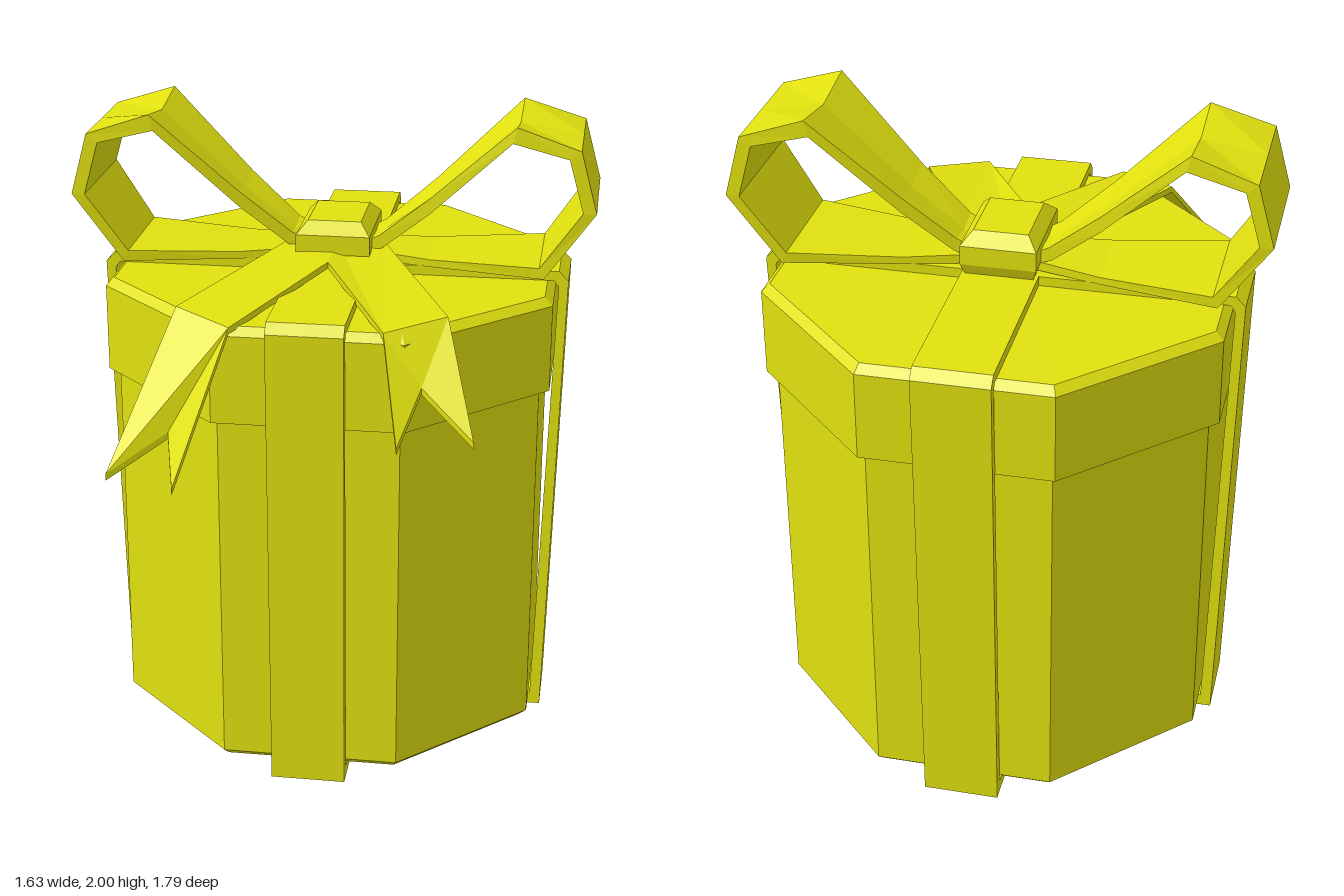
import * as THREE from 'three';

const ZC = -0.163; // centre line of the box
const yellow = new THREE.MeshStandardMaterial({ color: 0xe0e00f, flatShading: true });
yellow.name = 'yellow';

function part(name, geometry, parent) {
  const mesh = new THREE.Mesh(geometry, yellow);
  mesh.name = name;
  parent.add(mesh);
  return mesh;
}

// Octagonal solid from a profile of [apothem, y], flat sides facing the axes
function octagon(profile) {
  const k = 1 / Math.cos(Math.PI / 8);
  const pts = profile.map(([r, y]) => new THREE.Vector2(r * k, y));
  return new THREE.LatheGeometry(pts, 8, Math.PI / 8).toNonIndexed();
}

// Symmetric closed outline from its right half
function outline(half, Type) {
  const all = [...half, ...half.slice().reverse().map(([x, y]) => [-x, y])];
  return new Type(all.map(([x, y]) => new THREE.Vector2(x, y)));
}

// Ribbon band wrapped around the box
function bandGeometry() {
  const shape = outline([[0.7, 0], [0.735, 1.5], [0.705, 1.53]], THREE.Shape);
  shape.holes.push(outline([[0.666, 0.04], [0.705, 1.48], [0.69, 1.5]], THREE.Path));
  const geo = new THREE.ExtrudeGeometry(shape, { depth: 0.232, bevelEnabled: false });
  return geo.translate(0, 0, -0.116);
}

// Bow loop: ribbon section swept along stations [outerX, outerY, innerX, innerY, halfWidth, dip]
function loopGeometry() {
  const stations = [
    [0.08, 1.585, 0.08, 1.545, 0.08, 0],
    [0.14, 1.615, 0.15, 1.575, 0.09, 0.01],
    [0.3, 1.75, 0.3, 1.7, 0.125, 0.02],
    [0.565, 2.0, 0.553, 1.95, 0.195, 0.03],
    [0.76, 1.937, 0.725, 1.91, 0.21, 0],
    [0.813, 1.745, 0.772, 1.745, 0.21, 0],
    [0.66, 1.525, 0.645, 1.56, 0.187, 0],
    [0.3, 1.53, 0.3, 1.553, 0.125, 0],
    [0.08, 1.535, 0.08, 1.565, 0.08, 0],
  ];
  const pos = [], index = [];
  stations.forEach(([ox, oy, ix, iy, w, d], i) => {
    pos.push(ox, oy, -w, ox, oy - d, 0, ox, oy, w, ix, iy, w, ix, iy - d, 0, ix, iy, -w);
    if (i === stations.length - 1) return;
    for (let j = 0; j < 6; j++) {
      const a = i * 6 + j, b = i * 6 + (j + 1) % 6;
      index.push(a, b, b + 6, a, b + 6, a + 6);
    }
  });
  const geo = new THREE.BufferGeometry();
  geo.setAttribute('position', new THREE.Float32BufferAttribute(pos, 3));
  geo.setIndex(index);
  const flat = geo.toNonIndexed();
  flat.computeVertexNormals();
  return flat;
}

// Thin sheet from corners [x, z, topY]
function sheet(corners, thickness = 0.02) {
  const shape = new THREE.Shape(corners.map(([x, z]) => new THREE.Vector2(x, -z)));
  const geo = new THREE.ExtrudeGeometry(shape, { depth: thickness, bevelEnabled: false });
  geo.rotateX(-Math.PI / 2);
  const p = geo.attributes.position;
  for (let i = 0; i < p.count; i++) {
    const c = corners.find(([x, z]) => Math.hypot(x - p.getX(i), z - p.getZ(i)) < 1e-4);
    p.setY(i, p.getY(i) + c[2] - thickness);
  }
  geo.computeVertexNormals();
  return geo;
}

// Knot: box whose upper edges are chamfered by moving the top corners inward
function knotGeometry() {
  const geo = new THREE.BoxGeometry(0.232, 0.13, 0.31, 1, 3, 1);
  const p = geo.attributes.position;
  const rows = [[1.53, 0.9], [1.565, 1], [1.625, 1], [1.662, 0.72]];
  for (let i = 0; i < p.count; i++) {
    const [y, s] = rows[Math.round((p.getY(i) + 0.065) / 0.13 * 3)];
    p.setXYZ(i, p.getX(i) * s, y, p.getZ(i) * s);
  }
  geo.computeVertexNormals();
  return geo;
}

export function createModel() {
  const model = new THREE.Group();
  model.name = 'giftBox';

  // Box, lid and wrapped bands share one centre
  const box = new THREE.Group();
  box.name = 'box';
  box.position.z = ZC;
  model.add(box);
  part('boxBody', octagon([[0, 0.04], [0.64, 0.04], [0.663, 0.062], [0.663, 1.25]]), box);
  part('lid', octagon([[0.65, 1.2], [0.695, 1.2], [0.695, 1.475], [0.67, 1.5], [0, 1.5]]), box);
  part('sideBand', bandGeometry(), box);
  part('frontBand', bandGeometry(), box).rotation.y = Math.PI / 2;

  // Bow
  const bow = new THREE.Group();
  bow.name = 'bow';
  model.add(bow);
  part('knot', knotGeometry(), bow).position.z = ZC;
  ['leftLoop', 'rightLoop'].forEach((name, i) => {
    const loop = part(name, loopGeometry(), bow);
    loop.position.z = ZC;
    loop.rotation.y = i * Math.PI;
  });

  // Ribbon tails: a sloping strip, then a folded end with a notch
  const tails = [
    ['rightTail', -1, [0.405, 0.43, 1.525], [0.225, 0.547, 1.508],
      [[0.33, 0.89, 1.14], [0.378, 0.705, 1.235], [0.54, 0.813, 1.14]]],
    ['leftTail', 1, [0.402, 0.41, 1.525], [0.225, 0.53, 1.508],
      [[0.295, 0.787, 1.258], [0.345, 0.595, 1.37], [0.507, 0.71, 1.258]]],
  ];
  for (const [name, side, outer, inner, tips] of tails) {
    const flip = (list) => list.map(([x, z, y]) => [x * side, z, y]);
    const start = [[0, 0.09, 1.572], [0, -0.12, 1.575], [0.155, -0.12, 1.575]];
    part(name + 'Strip', sheet(flip([...start, outer, inner])), bow);
    part(name + 'End', sheet(flip([outer, inner, ...tips])), bow);
  }
  return model;
}
